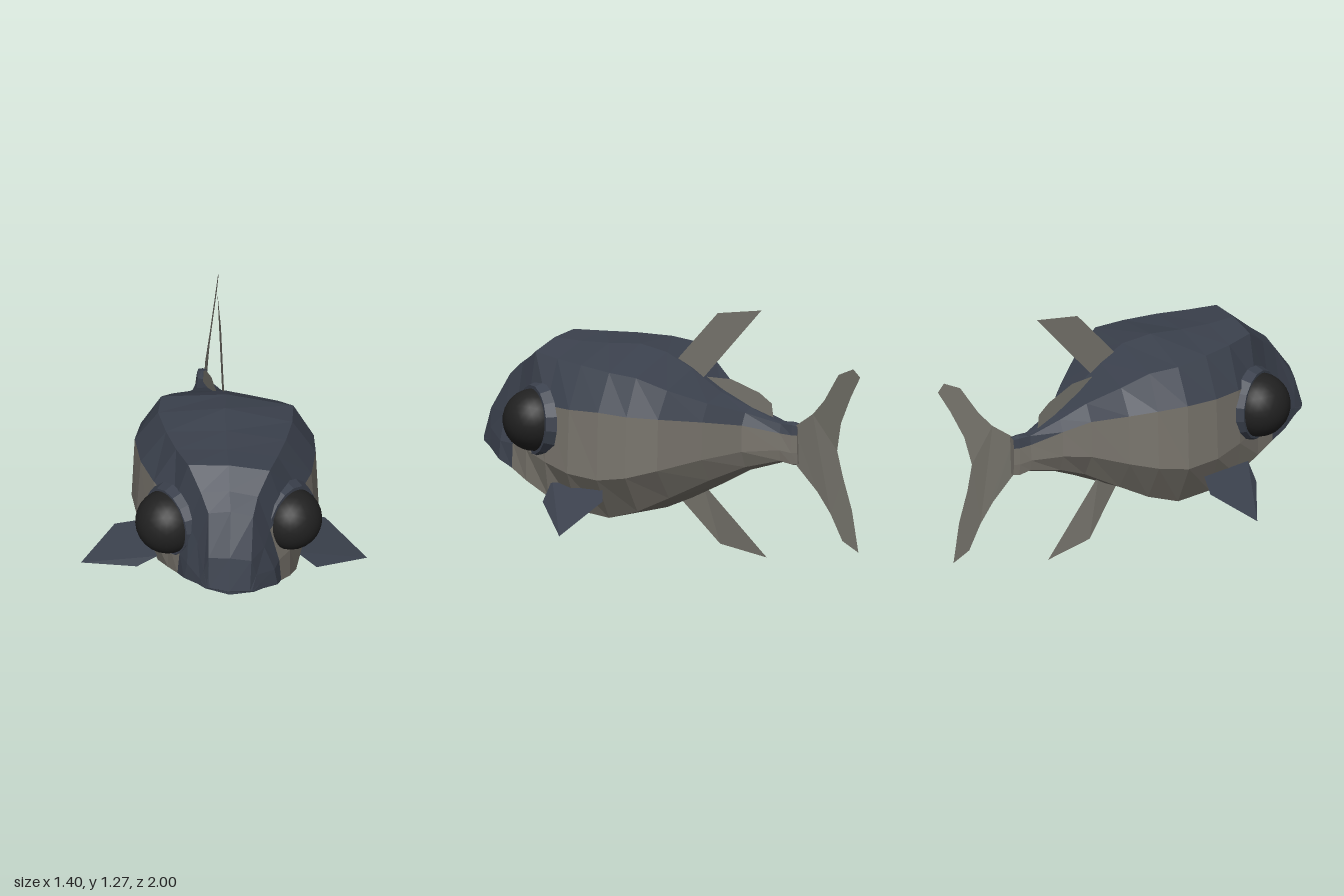
import * as THREE from 'three';

const mat = (name, color) => new THREE.MeshStandardMaterial({ name, color, side: THREE.DoubleSide });

// Body stations, nose to tail: z, centre x, top y, ridge half width, ridge y,
// colour line half width, colour line y, mid half width, low half width, low y, bottom y
const HEAD = [
  [1.0, 0.05, 0.525, 0.1, 0.52, 0.11, 0.517, 0.115, 0.12, 0.507, 0.507],
  [0.95, 0.05, 0.69, 0.105, 0.67, 0.13, 0.58, 0.15, 0.16, 0.49, 0.485],
  [0.82, 0.05, 0.88, 0.11, 0.86, 0.165, 0.68, 0.215, 0.23, 0.46, 0.45],
  [0.74, 0.04, 0.945, 0.14, 0.925, 0.2, 0.73, 0.245, 0.255, 0.43, 0.41],
  [0.64, 0.035, 1.03, 0.2, 1.015, 0.27, 0.78, 0.3, 0.3, 0.39, 0.36],
  [0.5, 0.02, 1.025, 0.25, 1.005, 0.36, 0.8, 0.38, 0.34, 0.33, 0.29],
];
const TRUNK = [
  [0.35, 0.01, 1.03, 0.295, 1.0, 0.42, 0.81, 0.44, 0.34, 0.28, 0.23],
  [0.18, 0.0, 1.045, 0.33, 0.99, 0.445, 0.82, 0.46, 0.33, 0.255, 0.2],
  [0.03, 0.005, 1.02, 0.325, 0.98, 0.425, 0.81, 0.44, 0.31, 0.3, 0.235],
  [-0.1, -0.01, 0.95, 0.26, 0.91, 0.355, 0.79, 0.365, 0.24, 0.36, 0.295],
  [-0.25, -0.04, 0.84, 0.15, 0.825, 0.205, 0.745, 0.21, 0.13, 0.43, 0.375],
  [-0.38, -0.1, 0.765, 0.06, 0.755, 0.095, 0.7, 0.1, 0.06, 0.48, 0.45],
  [-0.54, -0.135, 0.7, 0.025, 0.7, 0.035, 0.655, 0.04, 0.03, 0.515, 0.5],
  [-0.6, -0.14, 0.71, 0.025, 0.7, 0.032, 0.65, 0.032, 0.025, 0.5, 0.49],
  [-0.63, -0.14, 0.7, 0.02, 0.695, 0.026, 0.65, 0.026, 0.02, 0.505, 0.5],
];

// Flat-shaded geometry from a list of triangle corners
function facets(points) {
  const g = new THREE.BufferGeometry().setFromPoints(points);
  g.computeVertexNormals();
  return g;
}

// Ten-sided ring, clockwise from the top, with a slight roll; the snout is bowed forwards
function ring([z, cx, top, wr, yr, wc, yc, wm, wl, yl, bottom]) {
  const half = [[wr, yr], [wc, yc], [wm, 0.4 * yc + 0.6 * yl], [wl, yl]];
  const pts = [[0, top], ...half, [0, bottom], ...half.slice().reverse().map(([x, y]) => [-x, y])];
  const bow = 18 * Math.max(0, z - 0.85);
  return pts.map(([x, y]) => new THREE.Vector3(cx + x, y - 0.06 * x, z - bow * x * x));
}

// Upright fin: outline in (z, y), bent sideways by a rule for x
function uprightFin(name, outline, bend, material) {
  const g = new THREE.ShapeGeometry(new THREE.Shape(outline.map(([z, y]) => new THREE.Vector2(z, y))));
  const p = g.attributes.position;
  for (let i = 0; i < p.count; i++) {
    const z = p.getX(i), y = p.getY(i);
    p.setXYZ(i, bend(z, y), y, z);
  }
  const flat = g.toNonIndexed();
  flat.computeVertexNormals();
  const mesh = new THREE.Mesh(flat, material);
  mesh.name = name;
  return mesh;
}

export function createModel() {
  const fish = new THREE.Group();
  fish.name = 'fish';
  const blue = mat('slate blue back', 0x3b414d);
  const grey = mat('warm grey belly', 0x78746c);
  const finGrey = mat('fin grey', 0x74726a);
  const black = mat('eye black', 0x212121);
  const add = (name, geometry, material) => {
    const mesh = new THREE.Mesh(geometry, material);
    mesh.name = name;
    fish.add(mesh);
    return mesh;
  };

  // Body skin, sorted into blue back and face, and grey flanks and belly
  const rings = [...HEAD, ...TRUNK].map(ring);
  const upper = [], lower = [];
  for (let i = 0; i < rings.length - 1; i++) {
    for (let j = 0; j < 10; j++) {
      const k = (j + 1) % 10;
      const a = rings[i][j], b = rings[i][k], c = rings[i + 1][k], d = rings[i + 1][j];
      const isBelly = j === 4 || j === 5;
      const isBack = j < 2 || j > 7;
      (isBack || (i < 3 && !isBelly) ? upper : lower).push(a, b, c, a, c, d);
    }
  }
  // Nose and tail end caps
  const first = rings[0], last = rings[rings.length - 1];
  for (let j = 1; j < 9; j++) {
    upper.push(first[0], first[j + 1], first[j]);
    lower.push(last[0], last[j], last[j + 1]);
  }
  add('backAndFace', facets(upper), blue);
  add('flanksAndBelly', facets(lower), grey);

  // Eyes in raised sockets
  for (const [side, x, z, r] of [[1, 0.325, 0.585, 0.155], [-1, -0.255, 0.63, 0.16]]) {
    const label = side > 0 ? 'left' : 'right';
    const normal = new THREE.Vector3(side * 0.78, 0.04, 0.62).normalize();
    const centre = new THREE.Vector3(x, 0.685, z);
    const socket = add(label + 'EyeSocket', new THREE.CylinderGeometry(0.172, 0.192, 0.05, 16).toNonIndexed(), blue);
    socket.geometry.computeVertexNormals();
    socket.position.copy(centre);
    socket.quaternion.setFromUnitVectors(new THREE.Vector3(0, 1, 0), normal);
    const eye = add(label + 'Eye', new THREE.IcosahedronGeometry(r, 4), black);
    eye.position.copy(centre).addScaledVector(normal, 0.015);
  }

  // Pectoral fins, angled differently on each side
  const pectorals = {
    leftPectoralFin: [[0.36, 0.4, 0.48], [0.46, 0.31, 0.48], [0.7, 0.215, 0.26], [0.49, 0.36, 0.13], [0.42, 0.4, 0.17]],
    rightPectoralFin: [[-0.32, 0.415, 0.56], [-0.42, 0.35, 0.56], [-0.7, 0.28, 0.44], [-0.54, 0.39, 0.26], [-0.42, 0.43, 0.28]],
  };
  for (const [name, corners] of Object.entries(pectorals)) {
    const p = corners.map((c) => new THREE.Vector3(...c));
    const tris = [];
    for (let i = 1; i < p.length - 1; i++) {
      if (name.startsWith('left')) tris.push(p[0], p[i], p[i + 1]);
      else tris.push(p[0], p[i + 1], p[i]);
    }
    add(name, facets(tris), blue);
  }

  // Dorsal, rear dorsal, belly and tail fins
  fish.add(uprightFin('dorsalFin', [[-0.02, 0.99], [-0.23, 1.24], [-0.46, 1.275], [-0.15, 0.9]],
    (z) => -0.01 + 0.11 * z, finGrey));
  fish.add(uprightFin('rearDorsalFin',
    [[-0.1, 0.88], [-0.15, 0.905], [-0.28, 0.9], [-0.42, 0.84], [-0.48, 0.79], [-0.49, 0.7], [-0.3, 0.74]],
    (z) => -0.02 + 0.23 * z, finGrey));
  fish.add(uprightFin('bellyFin', [[-0.01, 0.29], [-0.2, 0.05], [-0.44, 0.0], [-0.13, 0.36]],
    (z, y) => -0.03 + 0.28 * z - (y > 0.02 && y < 0.2 ? 0.03 : 0), finGrey));
  fish.add(uprightFin('tailFin',
    [[-0.61, 0.69], [-0.72, 0.77], [-0.79, 0.85], [-0.88, 0.995], [-0.965, 1.035], [-1, 0.995], [-0.94, 0.885], [-0.874, 0.74],
      [-0.842, 0.594], [-0.87, 0.46], [-0.917, 0.297], [-0.95, 0.085], [-0.863, 0.135], [-0.8, 0.266], [-0.73, 0.37], [-0.61, 0.5]],
    (z, y) => -0.14 + (y > 0.55 ? 0.14 * (y - 0.55) : 0.02 * (y - 0.55) + 0.04 * (z + 0.85)), finGrey));
  return fish;
}
